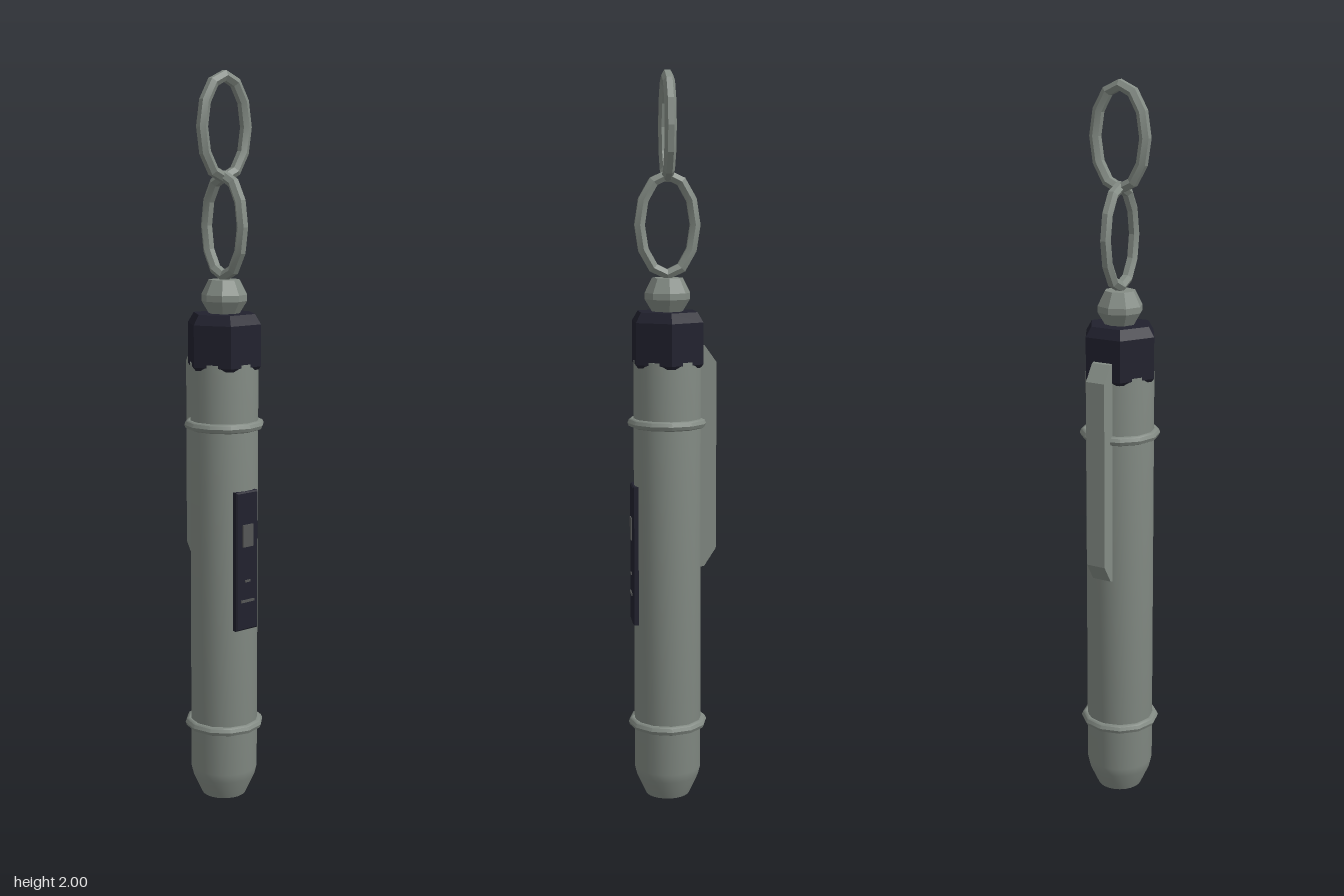
import * as THREE from 'three';
import { toCreasedNormals } from 'three/addons/utils/BufferGeometryUtils.js';

export function createModel() {
  const model = new THREE.Group();
  const axisZ = 0.009; // centre line of the barrel

  const material = (name, color, options = {}) => {
    const m = new THREE.MeshStandardMaterial({ color, ...options });
    m.name = name;
    return m;
  };
  const metal = material('greyMetal', 0x848c85);
  const dark = material('darkPlastic', 0x21212e);
  const grey = material('buttonGrey', 0x555656);

  const add = (name, geometry, mat, x = 0, y = 0, z = axisZ) => {
    const mesh = new THREE.Mesh(geometry, mat);
    mesh.name = name;
    mesh.position.set(x, y, z);
    model.add(mesh);
    return mesh;
  };
  const lathe = (points, sides, crease) => toCreasedNormals(
    new THREE.LatheGeometry(points.map(([r, y]) => new THREE.Vector2(r, y)), sides), crease);

  // Round barrel with a tapered foot
  add('barrel', lathe([[0, 0], [0.062, 0], [0.087, 0.055], [0.093, 0.08], [0.093, 1.23], [0, 1.23]], 24, 0.5), metal);

  // Two raised bands
  for (const [name, y] of [['lowerBand', 0.21], ['upperBand', 1.06]]) {
    const band = new THREE.TorusGeometry(0.097, 0.013, 8, 12);
    band.rotateX(Math.PI / 2);
    add(name, toCreasedNormals(band, 0.9), metal, 0, y);
  }

  // Hexagonal cap with chamfered rims, corners pointing sideways
  const cap = lathe([[0, 1.213], [0.098, 1.213], [0.105, 1.222], [0.105, 1.335], [0.088, 1.362], [0, 1.362]], 6, 0.2);
  cap.rotateY(Math.PI / 6);
  add('hexCap', cap, dark);

  // Faceted knob holding the chain
  add('knob', lathe([[0, 1.355], [0.038, 1.355], [0.062, 1.395], [0.062, 1.412], [0.042, 1.452], [0, 1.452]], 8, 0.2), metal);

  // Two interlocked oval links
  class Oval extends THREE.Curve {
    getPoint(t, target = new THREE.Vector3()) {
      const a = t * Math.PI * 2;
      return target.set(0.075 * Math.cos(a), 0.132 * Math.sin(a), 0);
    }
    getPointAt(t, target) { return this.getPoint(t, target); }
    getTangentAt(t, target) { return this.getTangent(t, target); }
  }
  const link = toCreasedNormals(new THREE.TubeGeometry(new Oval(), 12, 0.016, 6, true), 0.3);
  add('lowerLink', link, metal, 0, 1.593).rotation.y = Math.PI / 2;
  add('upperLink', link, metal, 0, 1.852);

  // Pocket clip: side outline extruded across the width
  const outline = new THREE.Shape([[0.07, 1.275], [0.09, 1.27], [0.122, 1.225], [0.122, 0.71], [0.09, 0.66], [0.07, 0.655]]
    .map(([back, y]) => new THREE.Vector2(back, y)));
  const clip = new THREE.ExtrudeGeometry(outline, { depth: 0.056, bevelEnabled: false });
  clip.translate(0, 0, -0.028);
  clip.rotateY(Math.PI / 2);
  add('pocketClip', clip, metal, 0, 0, 0);

  // Control panel on the front
  const rect = (w, h) => new THREE.Shape([[-w, -h], [w, -h], [w, h], [-w, h]].map(([x, y]) => new THREE.Vector2(x, y)));
  const panel = new THREE.ExtrudeGeometry(rect(0.034, 0.19), {
    depth: 0.03, bevelThickness: 0.004, bevelSize: 0.004, bevelSegments: 1,
  });
  add('controlPanel', panel, dark, 0, 0.693, 0.075);

  // Button and small marks on the panel
  for (const [name, w, h, y] of [['button', 0.036, 0.062, 0.765], ['shortMark', 0.018, 0.006, 0.638], ['longMark', 0.046, 0.007, 0.582]]) {
    add(name, new THREE.BoxGeometry(w, h, 0.006), grey, 0, y, 0.109);
  }
  return model;
}
